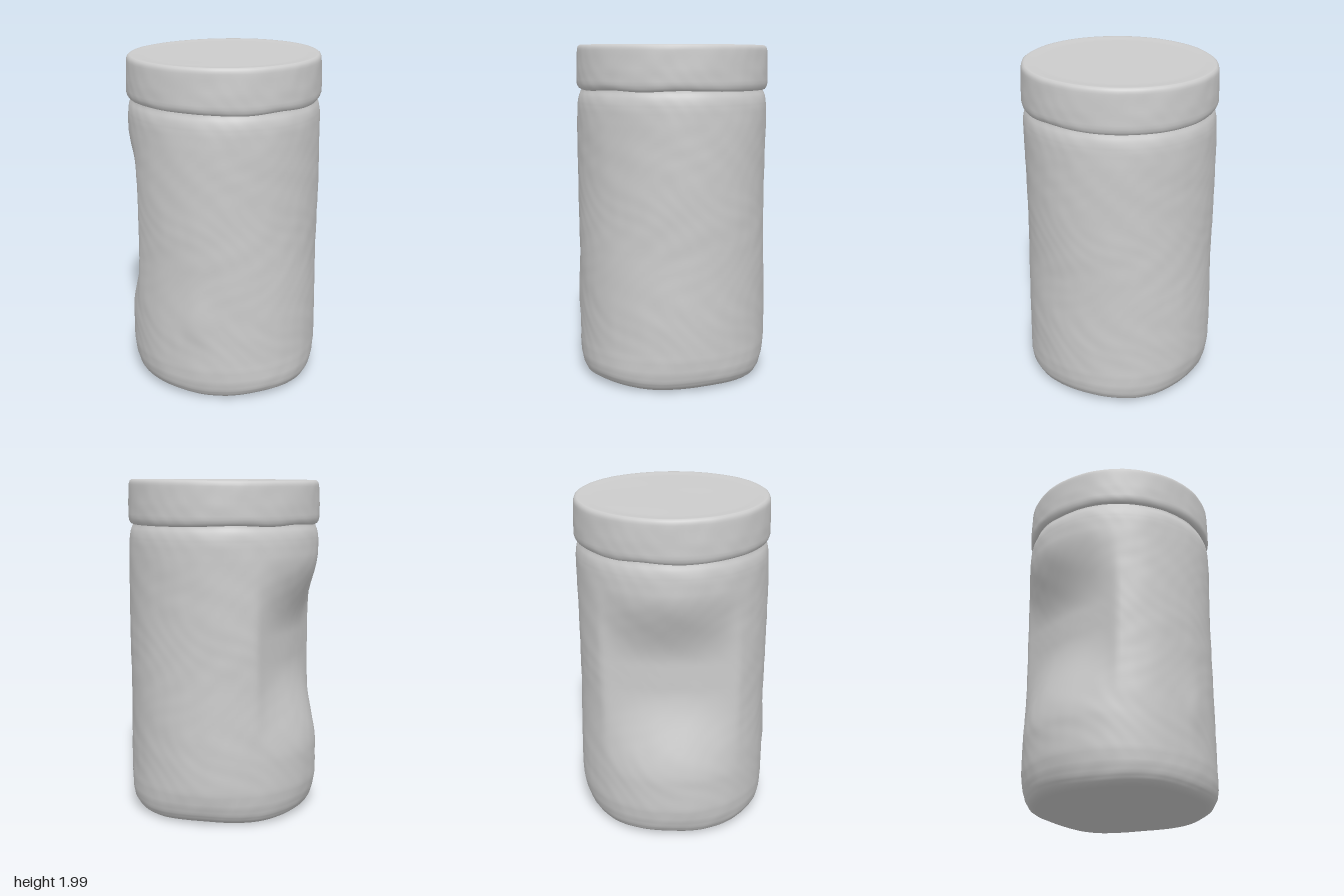
import * as THREE from 'three';
import { mergeVertices } from 'three/addons/utils/BufferGeometryUtils.js';

const material = new THREE.MeshStandardMaterial({ color: 0xcccccc, roughness: 0.9 });
const smooth = THREE.MathUtils.smoothstep;
const rad = THREE.MathUtils.degToRad;

// Subdivide a profile so that the surface can be shaped afterwards
function refine(profile, step) {
  const out = [];
  for (let i = 0; i < profile.length - 1; i++) {
    const a = new THREE.Vector2(...profile[i]);
    const b = new THREE.Vector2(...profile[i + 1]);
    const n = Math.max(1, Math.ceil(a.distanceTo(b) / step));
    for (let k = 0; k < n; k++) out.push(a.clone().lerp(b, k / n));
  }
  out.push(new THREE.Vector2(...profile[profile.length - 1]));
  return out;
}

// Turn a profile and move every vertex by a rule (radius, angle from +x, height) -> [radius, height]
function turned(name, profile, rule) {
  let geo = new THREE.LatheGeometry(refine(profile, 0.02), 160);
  geo.deleteAttribute('normal');
  geo.deleteAttribute('uv');
  geo = mergeVertices(geo, 1e-4);
  const p = geo.attributes.position;
  for (let i = 0; i < p.count; i++) {
    const x = p.getX(i), z = p.getZ(i);
    const angle = Math.atan2(z, x);
    const [r, y] = rule(Math.hypot(x, z), angle, p.getY(i));
    p.setXYZ(i, r * Math.cos(angle), y, r * Math.sin(angle));
  }
  geo.computeVertexNormals();
  const mesh = new THREE.Mesh(geo, material);
  mesh.name = name;
  return mesh;
}

// Gentle unevenness: broad waves plus small irregular lumps
const ripple = (a, y) =>
  0.003 * Math.sin(3 * a + 1.5 * Math.sin(4 * y)) +
  0.0012 * Math.sin(11 * a + 3 * Math.sin(7 * y)) * Math.sin(13 * y + 2 * Math.sin(3 * a)) +
  0.0008 * Math.sin(23 * a + 4 * Math.sin(9 * y)) * Math.sin(29 * y + 3 * Math.sin(5 * a));

// Jar wall with one side pressed almost flat, and a slightly lumpy lower edge
function shapeBody(r, a, y) {
  const wall = smooth(r, 0.3, 0.56);
  let radius = r + wall * ripple(a, y);

  // Pressed side: part of the way from the round wall to a flat plane
  const press = 0.75 * smooth(y, 0.38, 0.95) * (1 - smooth(y, 1.1, 1.57));
  const c = Math.cos(a - rad(155));
  if (c > 0.4) {
    const k = 0.025;
    const flat = 0.405 / c;
    const h = THREE.MathUtils.clamp(0.5 + (flat - radius) / (2 * k), 0, 1);
    const clipped = flat + (radius - flat) * h - k * h * (1 - h);
    radius += (clipped - radius) * press;
  }

  // Small raised lump low on the front left
  const da = (a - rad(61)) / 0.13, dy = (y - 0.5) / 0.12;
  radius += wall * 0.011 * Math.exp(-da * da - dy * dy);

  // Lower edge
  const low = wall * (1 - smooth(y, 0.02, 0.25));
  radius += low * (0.012 * Math.cos(a) + 0.005 * Math.sin(4 * a + 1));
  return [radius, y + low * 0.006 * (1 + Math.sin(5 * a))];
}

// Lid with a softly uneven rim, a slight tilt and a faintly wavy top
function shapeLid(r, a, y) {
  const rim = smooth(r, 0.35, 0.56);
  const top = smooth(y, 1.9, 1.98);
  const lift = top * (0.006 * Math.cos(a) * r / 0.56 + 0.003 * Math.sin(9 * r) * Math.cos(2 * a) * r);
  const lip = (1 - smooth(y, 1.74, 1.8)) * 0.004 * Math.sin(5 * a + 2 * Math.sin(2 * a));
  return [r + rim * ripple(a, y), y + lift + lip];
}

export function createModel() {
  const group = new THREE.Group();
  group.name = 'jar';

  // Jar: recessed base, rounded lower edge, straight wall, shoulder and neck
  group.add(turned('body', [
    [0, 0.03], [0.3, 0.026], [0.42, 0.016], [0.47, 0.008], [0.505, 0.013], [0.53, 0.03],
    [0.55, 0.065], [0.563, 0.12], [0.57, 0.2], [0.57, 0.4], [0.565, 0.8], [0.567, 1.2], [0.57, 1.55],
    [0.569, 1.63], [0.566, 1.67], [0.56, 1.7], [0.55, 1.725], [0.545, 1.738], [0.543, 1.78],
  ], shapeBody));

  // Lid: tapered lower lip, upright side, tight rim and flat top
  group.add(turned('lid', [
    [0.535, 1.75], [0.549, 1.738], [0.56, 1.742], [0.569, 1.756], [0.574, 1.775], [0.574, 1.85],
    [0.57, 1.95], [0.568, 1.972], [0.563, 1.985], [0.552, 1.993], [0.53, 1.992], [0.48, 1.988], [0, 1.987],
  ], shapeLid));

  return group;
}
